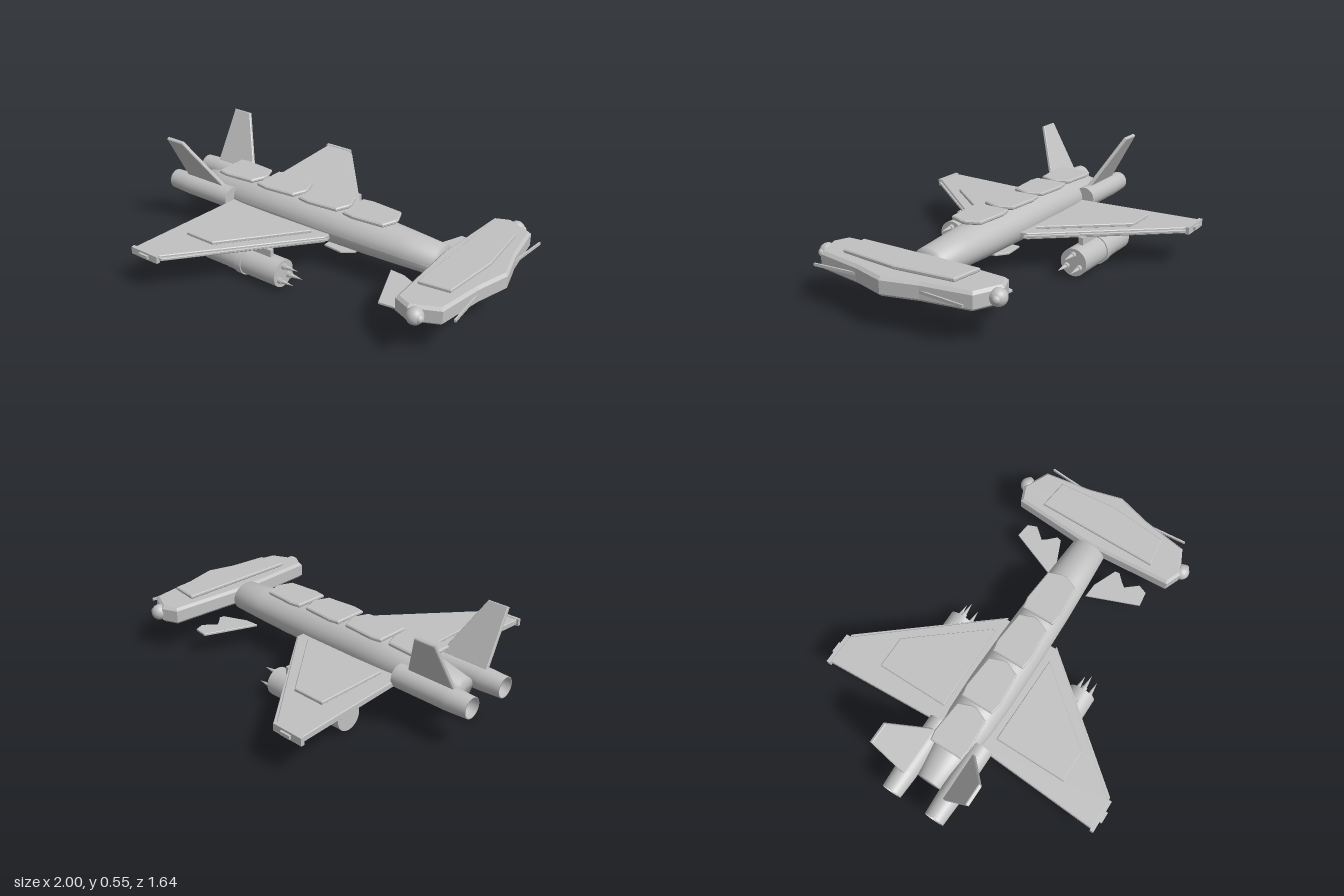
import * as THREE from 'three';

const hull = new THREE.MeshStandardMaterial({ color: 0xc0c0c0, side: THREE.DoubleSide });
hull.name = 'hull grey';

export function createModel() {
  const root = new THREE.Group();

  const add = (name, geo, x = 0, y = 0, z = 0) => {
    const m = new THREE.Mesh(geo, hull);
    m.name = name;
    m.position.set(x, y, z);
    root.add(m);
    return m;
  };

  // Flat plate from an [x, z] outline between heights y0 and y1, with a bevelled rim
  const plate = (name, pts, y0, y1, side = 1, bevel = 0.004) => {
    const shape = new THREE.Shape(pts.map(([x, z]) => new THREE.Vector2(x, -z * side)));
    const geo = new THREE.ExtrudeGeometry(shape, {
      depth: y1 - y0 - 2 * bevel, bevelEnabled: bevel > 0, bevelThickness: bevel,
      bevelSize: bevel, bevelOffset: -bevel, bevelSegments: 1,
    });
    geo.rotateX(-Math.PI / 2);
    return add(name, geo, 0, y0 + bevel, 0);
  };

  // Both halves of an outline that is symmetric about z = 0
  const mirrored = (half) => [...half, ...half.filter((p) => p[1] !== 0).reverse().map(([x, z]) => [x, -z])];

  // Turned part along x, from [x, radius] pairs running aft to fore
  const turned = (profile, sides = 32) => new THREE.LatheGeometry(
    profile.map(([x, r]) => new THREE.Vector2(r, x)), sides).rotateZ(-Math.PI / 2);

  // Fuselage: oval tube whose centre line drops towards the nose
  const body = turned([[-0.86, 0], [-0.86, 0.068], [-0.7, 0.1], [-0.5, 0.125], [-0.3, 0.13],
    [0, 0.127], [0.25, 0.118], [0.45, 0.107], [0.65, 0.094], [0.65, 0]], 40);
  const p = body.attributes.position;
  for (let i = 0; i < p.count; i++) {
    const x = p.getX(i);
    const centre = x > -0.3 ? 0.234 - 0.021 * (x + 0.3) / 0.95 : 0.234 + 0.03 * (x + 0.3);
    p.setY(i, p.getY(i) * 0.83 + centre);
  }
  body.computeVertexNormals();
  add('fuselage', body);

  // Dorsal armour panels
  for (let i = 0; i < 4; i++) {
    const x = -0.43 + (i - 1) * 0.28;
    const back = i === 0 ? -0.7 : x;
    plate('dorsalPanel', mirrored([[back, 0.09], [x + 0.06, 0.1], [x + 0.235, 0.085], [x + 0.265, 0.012]]), 0.332, 0.353, 1, 0.006);
  }
  plate('bellyPlate', mirrored([[0, 0.07], [0.11, 0.08], [0.17, 0.035]]), 0.102, 0.114, 1, 0.002);
  add('bellyMount', new THREE.BoxGeometry(0.1, 0.03, 0.05), 0.06, 0.123, 0);

  // Hammer-shaped head
  plate('head', mirrored([[1, 0], [0.95, 0.18], [0.91, 0.43], [0.77, 0.495], [0.685, 0.46], [0.655, 0]]),
    0.175, 0.266, 1, 0.014);
  plate('headPanel', mirrored([[0.91, 0], [0.88, 0.315], [0.72, 0.335]]), 0.272, 0.292, 1, 0.005);
  add('headPanelBase', new THREE.BoxGeometry(0.11, 0.02, 0.5), 0.8, 0.266, 0);
  add('neck', new THREE.BoxGeometry(0.08, 0.06, 0.12), 0.65, 0.215, 0);

  for (const s of [1, -1]) {
    // Head end lamps and front blades
    add('headLamp', new THREE.SphereGeometry(0.042, 24, 16), 0.805, 0.222, s * 0.488);
    add('lampTip', new THREE.SphereGeometry(0.022, 16, 10), 0.832, 0.222, s * 0.496);
    add('headBlade', new THREE.BoxGeometry(0.009, 0.014, 0.31), 0.952, 0.222, s * 0.265).rotation.y = s * 0.08;

    // Main wing, leading edge strip, raised panel and tip
    plate('wing', [[-0.58, 0.09], [-0.62, 0.79], [-0.46, 0.79], [0.07, 0.16], [0.07, 0.09]], 0.187, 0.22, s);
    plate('leadingEdge', [[-0.46, 0.79], [-0.44, 0.79], [0.085, 0.15], [0.05, 0.15]], 0.197, 0.21, s, 0.002);
    plate('wingPanel', [[-0.5, 0.16], [-0.5, 0.555], [-0.325, 0.555], [-0.01, 0.165]], 0.217, 0.236, s);
    add('wingTip', new THREE.BoxGeometry(0.175, 0.038, 0.02), -0.543, 0.203, s * 0.797);
    add('wingTipLight', new THREE.BoxGeometry(0.06, 0.018, 0.014), -0.54, 0.203, s * 0.812);

    // Canard with a notched front edge
    plate('canard', [[0.44, 0.115], [0.55, 0.39], [0.63, 0.38], [0.65, 0.33], [0.595, 0.265],
      [0.615, 0.24], [0.655, 0.2], [0.65, 0.175], [0.52, 0.12]], 0.129, 0.142, s, 0.002);

    // Tail engine with a hollow nozzle
    add('tailEngine', turned([[-0.9, 0], [-0.9, 0.043], [-1, 0.048], [-1, 0.053], [-0.88, 0.059]]), 0, 0.232, s * 0.126);
    add('tailEngineBody', turned([[-0.88, 0.059], [-0.58, 0.059], [-0.58, 0.059]]), 0, 0.232, s * 0.126);
    add('tailEngineFront', new THREE.CircleGeometry(0.059, 32).rotateY(Math.PI / 2), -0.58, 0.232, s * 0.126);

    // Tail fin leaning outwards
    const fin = new THREE.ExtrudeGeometry(new THREE.Shape([[-0.9, -0.01], [-0.635, -0.01], [-0.78, 0.298], [-0.89, 0.298]]
      .map(([x, y]) => new THREE.Vector2(x, y))), {
      depth: 0.012, bevelThickness: 0.004, bevelSize: 0.004, bevelOffset: -0.004, bevelSegments: 1 });
    fin.translate(0, 0, -0.006);
    add('tailFin', fin, 0, 0.292, s * 0.127).rotation.x = s * 0.5;

    // Underwing pod with clamp ring, pylon and three spikes
    const z = s * 0.38;
    add('pod', turned([[-0.5, 0], [-0.5, 0.071], [-0.5, 0.071], [-0.34, 0.071], [-0.34, 0.071]]), 0, 0.082, z);
    add('podFront', turned([[-0.34, 0.073], [-0.02, 0.073], [-0.02, 0.073], [-0.02, 0.066], [-0.02, 0]]), 0, 0.082, z);
    add('podRing', new THREE.CylinderGeometry(0.079, 0.079, 0.04, 32).rotateZ(Math.PI / 2), -0.26, 0.081, z);
    add('pylon', new THREE.BoxGeometry(0.32, 0.05, 0.025), -0.25, 0.168, z);
    for (const [dy, dz] of [[0.042, 0], [-0.022, 0.036], [-0.022, -0.036]]) {
      add('spikeBase', new THREE.CylinderGeometry(0.016, 0.016, 0.025, 12).rotateZ(Math.PI / 2), -0.012, 0.082 + dy, z + dz);
      add('spike', new THREE.ConeGeometry(0.012, 0.075, 12).rotateZ(-Math.PI / 2), 0.036, 0.082 + dy, z + dz);
    }
  }
  return root;
}
